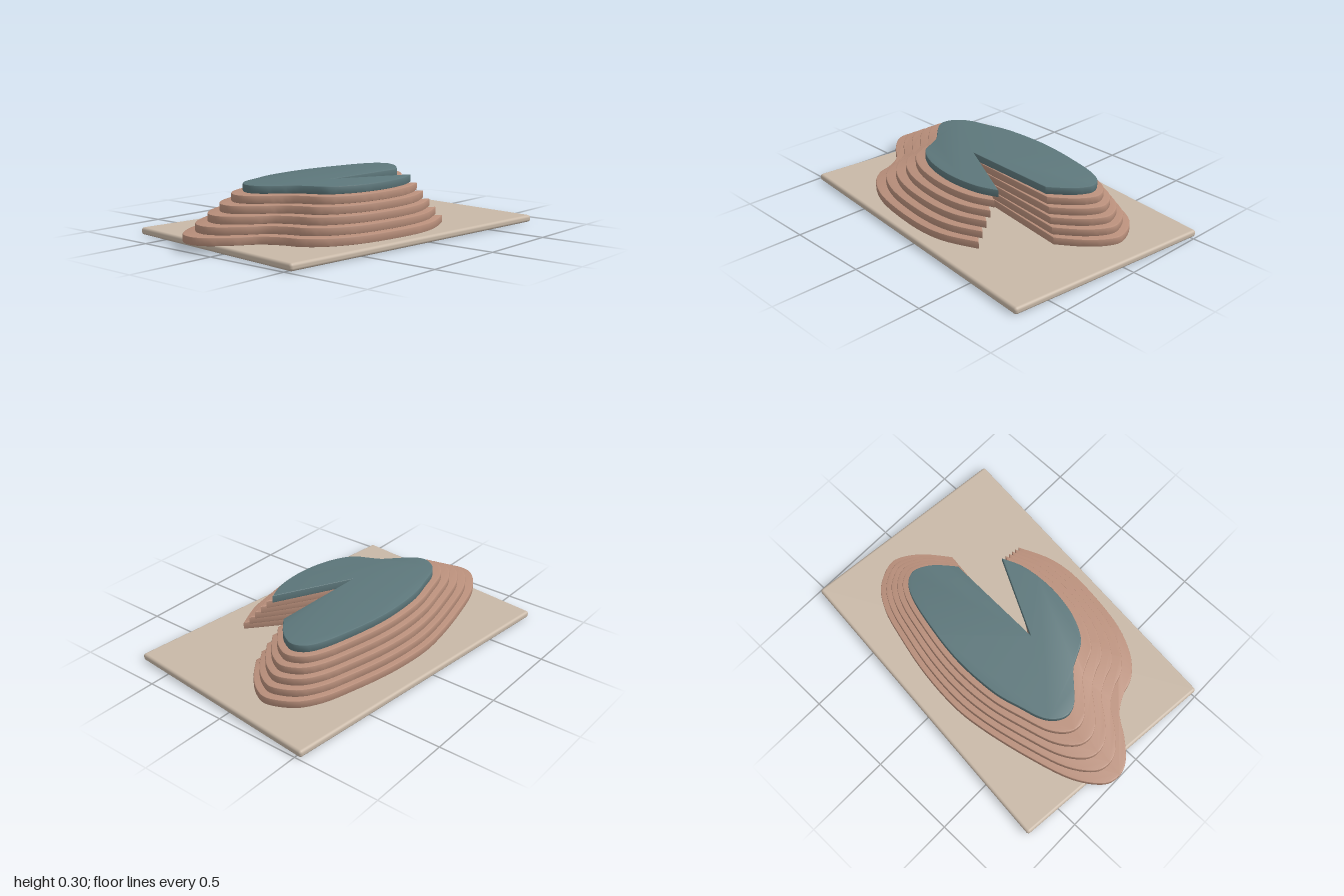
import * as THREE from 'three';
import { toCreasedNormals } from 'three/addons/utils/BufferGeometryUtils.js';
import { RoundedBoxGeometry } from 'three/addons/geometries/RoundedBoxGeometry.js';

// Contour outlines as x, z pairs, from one lip of the notch round to the other
const LOWEST = [
  0.57, 0.14, 0.70, 0.04, 0.78, -0.06, 0.80, -0.15, 0.735, -0.28, 0.617, -0.36,
  0.457, -0.41, 0.19, -0.47, -0.077, -0.494, -0.29, -0.475, -0.56, -0.42, -0.81, -0.347,
  -0.96, -0.25, -1, -0.16, -0.975, -0.07, -0.88, 0.027, -0.77, 0.11, -0.71, 0.21,
  -0.675, 0.315, -0.574, 0.417, -0.387, 0.50, -0.077, 0.548, 0.136, 0.534, 0.334, 0.454,
];
const HIGHEST = [
  0.43, 0.06, 0.526, -0.02, 0.574, -0.085, 0.59, -0.144, 0.553, -0.21, 0.46, -0.256,
  0.307, -0.294, 0.126, -0.326, -0.04, -0.337, -0.24, -0.326, -0.387, -0.29, -0.505, -0.256,
  -0.574, -0.203, -0.60, -0.139, -0.58, -0.075, -0.515, -0.005, -0.446, 0.064, -0.409, 0.134,
  -0.366, 0.214, -0.264, 0.278, -0.14, 0.315, 0.003, 0.33, 0.163, 0.315, 0.286, 0.267,
];
const APEX = [-0.147, 0.043];
const LAYERS = 6, BASE = 0.04, STEP = 0.0435, BEVEL = 0.005;

function material(name, color) {
  const m = new THREE.MeshStandardMaterial({ color });
  m.name = name;
  return m;
}

// One contour slab, blended between the lowest and highest outlines
function layerGeometry(t) {
  const points = [];
  for (let i = 0; i < LOWEST.length; i += 2) {
    points.push(new THREE.Vector2(
      THREE.MathUtils.lerp(LOWEST[i], HIGHEST[i], t),
      -THREE.MathUtils.lerp(LOWEST[i + 1], HIGHEST[i + 1], t),
    ));
  }
  const outline = new THREE.SplineCurve(points).getPoints(110);
  outline.push(new THREE.Vector2(APEX[0], -APEX[1]));
  const geometry = new THREE.ExtrudeGeometry(new THREE.Shape(outline), {
    depth: STEP - 2 * BEVEL, bevelEnabled: true, bevelThickness: BEVEL,
    bevelSize: BEVEL, bevelOffset: -BEVEL, bevelSegments: 2,
  });
  geometry.translate(0, 0, BEVEL);
  geometry.rotateX(-Math.PI / 2);
  return toCreasedNormals(geometry, 0.6);
}

export function createModel() {
  const group = new THREE.Group();
  group.name = 'terracedHill';
  const sand = material('sand', 0xc8b8a7);
  const clay = material('clay', 0xb98f7b);
  const teal = material('teal', 0x5d777b);

  // Slightly turned base board
  const board = new THREE.Mesh(new RoundedBoxGeometry(1.858, BASE, 1.25, 4, 0.016), sand);
  board.name = 'baseBoard';
  board.position.set(0.006, BASE / 2, -0.002);
  board.rotation.y = -0.1;
  group.add(board);

  // Stacked contour layers with a notch cut to a shared apex
  for (let i = 0; i < LAYERS; i++) {
    const top = i === LAYERS - 1;
    const layer = new THREE.Mesh(layerGeometry(i / (LAYERS - 1)), top ? teal : clay);
    layer.name = top ? 'topLayer' : `contourLayer${i + 1}`;
    layer.position.y = BASE + i * STEP;
    group.add(layer);
  }
  return group;
}
